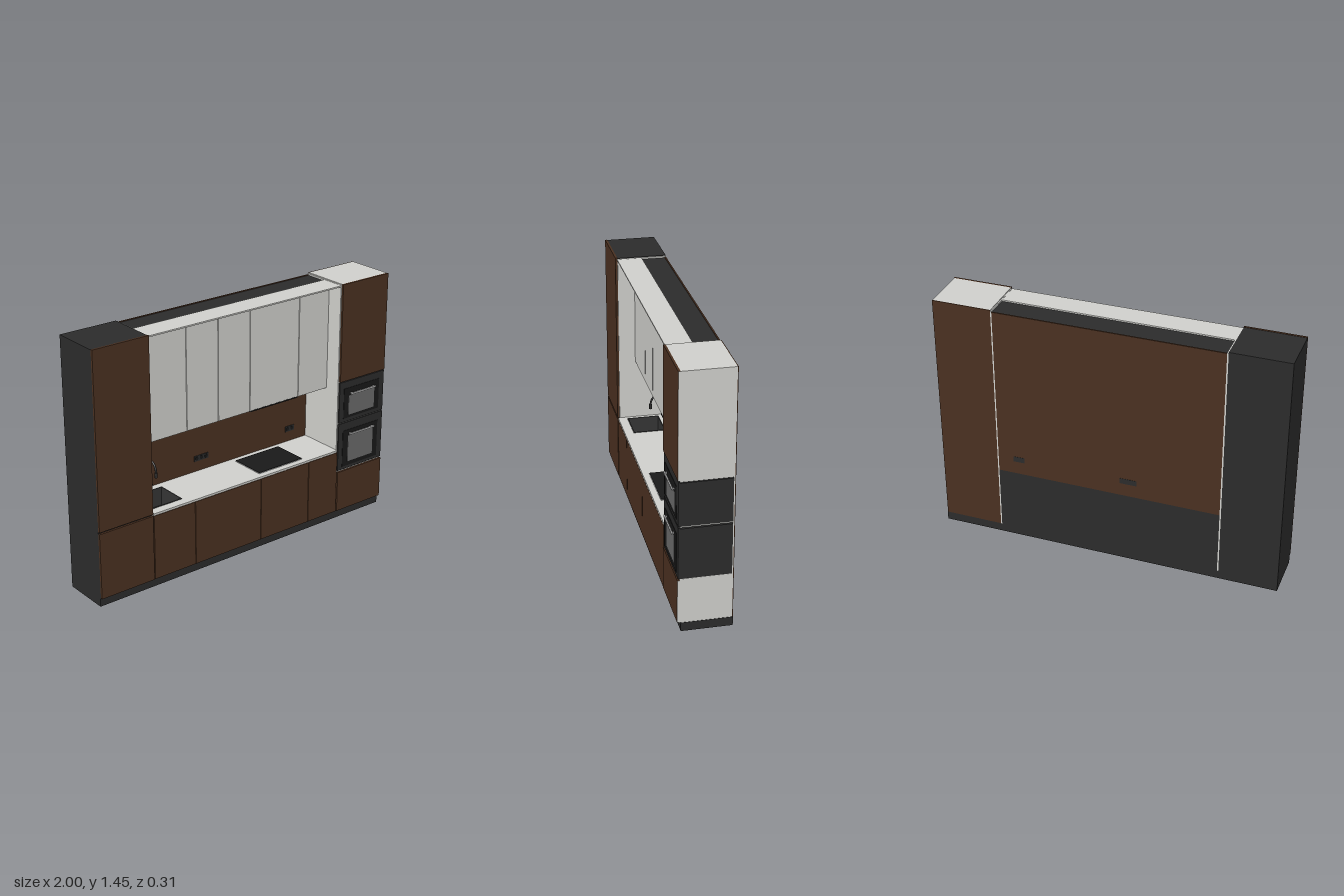
import * as THREE from 'three';

const mat = (name, color) => {
  const m = new THREE.MeshStandardMaterial({ color });
  m.name = name;
  return m;
};

export function createModel() {
  const root = new THREE.Group();
  root.name = 'kitchenWall';
  const wood = mat('dark wood', 0x4a3020);
  const light = mat('light grey', 0xcfcfcb);
  const dark = mat('charcoal', 0x2b2b2b);
  const black = mat('black glass', 0x191919);
  const glass = mat('oven window', 0x6a6a6a);
  const steel = mat('steel', 0xc0c0c0);
  const sinkMat = mat('sink grey', 0x353535);

  // Box given by its lower and upper corners
  const box = (name, m, x0, x1, y0, y1, z0, z1, parent = root) => {
    const mesh = new THREE.Mesh(new THREE.BoxGeometry(x1 - x0, y1 - y0, z1 - z0), m);
    mesh.position.set((x0 + x1) / 2, (y0 + y1) / 2, (z0 + z1) / 2);
    mesh.name = name;
    parent.add(mesh);
  };
  const B = -0.155; // back plane
  const F = 0.127;  // carcass front
  const D = 0.139;  // door front

  // Plinth
  box('plinth', dark, -1, 1, 0, 0.05, B, 0.12);

  // Left tall cabinet
  box('leftTallBody', dark, -1, -0.661, 0.05, 1.448, B, F);
  box('leftTallUpperDoor', wood, -1, -0.66, 0.445, 1.45, F, D);
  box('leftTallLowerDoor', wood, -1, -0.66, 0.053, 0.435, F, D);
  box('leftNichePanel', light, -0.661, -0.653, 0.05, 1.445, B, F);

  // Right tall cabinet: light carcass above and below the ovens
  const door = [light, wood, wood, wood, wood, wood];
  box('rightTallUpperBody', light, 0.657, 0.998, 0.86, 1.45, B + 0.004, F);
  box('rightTallLowerBody', light, 0.657, 0.998, 0.05, 0.31, B + 0.004, F);
  box('rightTallBackStrip', light, 0.657, 0.998, 0.31, 0.86, B + 0.004, -0.145);
  box('rightTallShelf', light, 0.657, 0.998, 0.606, 0.612, -0.145, F);
  box('rightNichePanel', light, 0.65, 0.657, 0.05, 1.445, B, F);
  box('rightTallBack', wood, 0.657, 0.998, 0.05, 1.45, B, B + 0.004);
  box('rightTallUpperDoor', door, 0.657, 1, 0.868, 1.45, F, D);
  box('rightTallLowerDoor', door, 0.657, 1, 0.053, 0.302, F, D);

  // Built-in ovens: body, front, glass frame, window and bar handle
  const oven = (name, y0, y1, fy0, fy1, wx0, wx1, wy0, wy1, hy) => {
    const g = new THREE.Group();
    g.name = name;
    root.add(g);
    box('ovenBody', dark, 0.658, 1, y0, y1 - 0.006, -0.145, F, g);
    box('ovenFront', dark, 0.657, 1, y0, y1, F, 0.136, g);
    box('ovenDoorGlass', black, 0.69, 0.963, fy0, fy1, 0.136, 0.138, g);
    box('ovenWindow', glass, wx0, wx1, wy0, wy1, 0.138, 0.1395, g);
    box('ovenHandle', steel, 0.73, 0.926, hy - 0.005, hy + 0.005, 0.147, 0.154, g);
    for (const x of [0.738, 0.91])
      box('handlePost', steel, x, x + 0.008, hy - 0.004, hy + 0.004, 0.138, 0.148, g);
  };
  oven('compactOven', 0.613, 0.862, 0.635, 0.82, 0.726, 0.926, 0.652, 0.772, 0.785);
  oven('mainOven', 0.312, 0.606, 0.33, 0.557, 0.73, 0.926, 0.355, 0.52, 0.533);

  // Base units
  box('baseBody', dark, -0.653, 0.65, 0.05, 0.33, B, F - 0.004);
  box('baseBack', dark, -0.653, 0.65, 0.33, 0.43, B, -0.145);
  box('baseFrontRail', dark, -0.653, 0.65, 0.33, 0.432, 0.11, F - 0.004);
  const row = (name, m, edges, y0, y1, z0, z1) => {
    for (let i = 0; i + 1 < edges.length; i++)
      box(name, m, edges[i] + 0.002, edges[i + 1] - 0.002, y0, y1, z0, z1);
  };
  row('baseDoor', wood, [-0.655, -0.38, 0.08, 0.432, 0.652], 0.053, 0.432, F - 0.004, D - 0.002);

  // Worktop with sink cut-out
  const S = { x0: -0.63, x1: -0.43, z0: -0.105, z1: 0.085 };
  const rect = (T, x0, x1, z0, z1) => new T([
    new THREE.Vector2(x0, -z1), new THREE.Vector2(x1, -z1),
    new THREE.Vector2(x1, -z0), new THREE.Vector2(x0, -z0)]);
  const top = rect(THREE.Shape, -0.653, 0.65, -0.148, 0.137);
  top.holes.push(rect(THREE.Path, S.x0, S.x1, S.z0, S.z1));
  const worktop = new THREE.Mesh(
    new THREE.ExtrudeGeometry(top, { depth: 0.012, bevelEnabled: false }), light);
  worktop.rotation.x = -Math.PI / 2;
  worktop.position.y = 0.434;
  worktop.name = 'worktop';
  root.add(worktop);

  // Sink basin: floor, four walls and drain
  const t = 0.006;
  box('sinkFloor', sinkMat, S.x0, S.x1, 0.335, 0.341, S.z0, S.z1);
  box('sinkWall', sinkMat, S.x0, S.x0 + t, 0.341, 0.449, S.z0, S.z1);
  box('sinkWall', sinkMat, S.x1 - t, S.x1, 0.341, 0.449, S.z0, S.z1);
  box('sinkWall', sinkMat, S.x0 + t, S.x1 - t, 0.341, 0.449, S.z0, S.z0 + t);
  box('sinkWall', sinkMat, S.x0 + t, S.x1 - t, 0.341, 0.449, S.z1 - t, S.z1);
  const cyl = (name, m, r, h, x, y, z) => {
    const c = new THREE.Mesh(new THREE.CylinderGeometry(r, r, h, 20), m);
    c.position.set(x, y, z);
    c.name = name;
    root.add(c);
    return c;
  };
  cyl('drain', black, 0.015, 0.003, -0.53, 0.342, -0.01);

  // Tap with an arched spout and side lever
  const tx = -0.515, tz = -0.125;
  const pts = [[0.45, 0], [0.54, 0], [0.595, 0], [0.625, 0.015], [0.638, 0.045],
    [0.625, 0.075], [0.595, 0.09], [0.57, 0.092]].map(([y, z]) => new THREE.Vector3(tx, y, tz + z));
  const spout = new THREE.Mesh(
    new THREE.TubeGeometry(new THREE.CatmullRomCurve3(pts), 40, 0.006, 10), dark);
  spout.name = 'tapSpout';
  root.add(spout);
  cyl('tapBase', dark, 0.012, 0.055, tx, 0.473, tz);
  cyl('tapNozzle', dark, 0.008, 0.03, tx, 0.568, tz + 0.092);
  cyl('tapPivot', dark, 0.008, 0.035, tx + 0.018, 0.47, tz).rotation.z = Math.PI / 2;
  cyl('tapLever', dark, 0.004, 0.05, tx + 0.027, 0.488, tz).rotation.z = 0.25;

  // Cooktop
  box('cooktopRim', steel, 0.095, 0.412, 0.446, 0.449, -0.115, 0.1);
  box('cooktopGlass', black, 0.097, 0.41, 0.449, 0.452, -0.113, 0.098);

  // Backsplash and back panel, with sockets set through it
  box('backPanel', wood, -0.653, 0.65, 0.43, 1.44, B, -0.147);
  const sockets = (x0, n) => {
    const w = 0.033;
    box('socketPlate', dark, x0, x0 + n * w, 0.508, 0.541, B - 0.001, -0.144);
    for (let i = 0; i < n; i++)
      cyl('socket', black, 0.011, 0.002, x0 + (i + 0.5) * w, 0.5245, -0.1435).rotation.x = Math.PI / 2;
  };
  sockets(-0.174, 3);
  sockets(0.492, 2);

  // Wall units, extractor and top filler panel
  box('wallUnitBody', dark, -0.653, 0.65, 0.808, 1.436, -0.147, 0.016);
  row('wallUnitDoor', light, [-0.655, -0.35, -0.137, 0.083, 0.433, 0.652], 0.805, 1.436, 0.016, 0.03);
  box('extractor', black, 0.086, 0.43, 0.8, 0.808, -0.13, 0.031);
  box('topFiller', light, -0.653, 0.65, 1.436, 1.444, -0.012, 0.13);

  return root;
}
